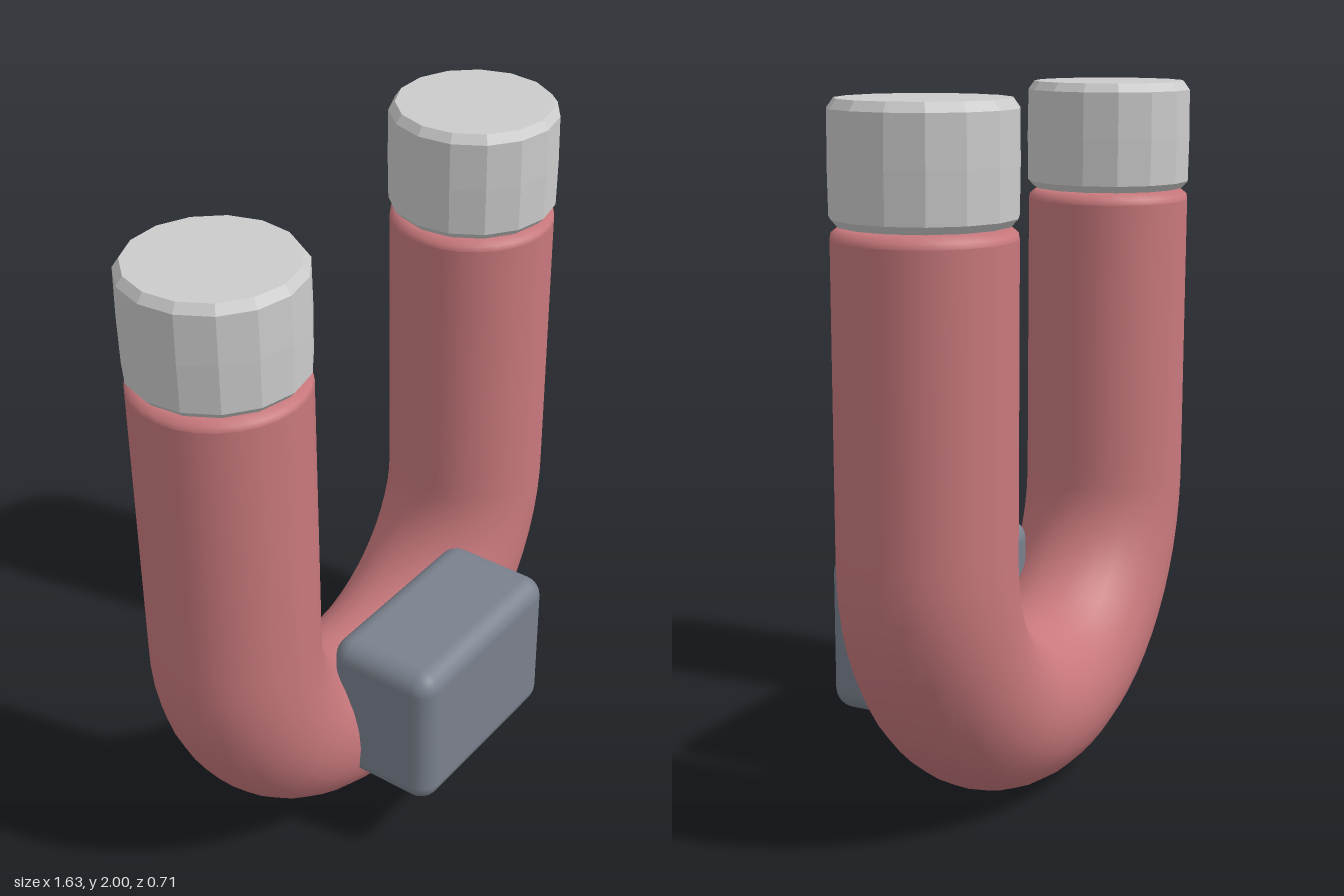
import * as THREE from 'three';
import { RoundedBoxGeometry } from 'three/addons/geometries/RoundedBoxGeometry.js';

const LEG_X = 0.57;     // distance of each leg's axis from the middle
const BEND_Y = 0.81;    // height where the bend meets the straight legs
const RADIUS = 0.24;
const AXIS_Z = -0.115;

const lathe = (points, sides) =>
  new THREE.LatheGeometry(points.map(([r, y]) => new THREE.Vector2(r, y)), sides);

export function createModel() {
  const model = new THREE.Group();
  model.name = 'horseshoeMagnet';

  const red = new THREE.MeshStandardMaterial({ color: 0xc8787c });
  const slate = new THREE.MeshStandardMaterial({ color: 0x7a818d });
  const grey = new THREE.MeshStandardMaterial({ color: 0xcccccc, flatShading: true });

  const add = (name, geometry, material, x, y, z) => {
    const mesh = new THREE.Mesh(geometry, material);
    mesh.name = name;
    mesh.position.set(x, y, z);
    model.add(mesh);
    return mesh;
  };

  // U-shaped bar: a straight leg, a half-circle bend, a straight leg
  class UCurve extends THREE.Curve {
    getPoint(t, target = new THREE.Vector3()) {
      const leg = 1.65 - BEND_Y;
      const arc = Math.PI * LEG_X;
      const s = t * (2 * leg + arc);
      if (s < leg) return target.set(-LEG_X, 1.65 - s, 0);
      if (s > leg + arc) return target.set(LEG_X, BEND_Y + s - leg - arc, 0);
      const a = Math.PI + (s - leg) / LEG_X;
      return target.set(LEG_X * Math.cos(a), BEND_Y + LEG_X * Math.sin(a), 0);
    }
  }
  add('bar', new THREE.TubeGeometry(new UCurve(), 56, RADIUS, 28), red, 0, 0, AXIS_Z);

  // Bevelled bar ends and faceted pole caps, one of each per leg
  const endGeometry = lathe([[RADIUS, 1.65], [0.237, 1.665], [0.215, 1.682], [0, 1.682]], 28);
  const capGeometry = lathe([
    [0, 1.685], [0.225, 1.685], [0.243, 1.705], [0.245, 1.84],
    [0.243, 1.975], [0.225, 2], [0, 2],
  ], 15);
  for (const [side, x] of [['left', LEG_X], ['right', -LEG_X]]) {
    add(side + 'BarEnd', endGeometry, red, x, 0, AXIS_Z);
    add(side + 'PoleCap', capGeometry, grey, x, 0, AXIS_Z);
  }

  // Rounded block on the front of the bend
  add('frontBlock', new RoundedBoxGeometry(0.63, 0.47, 0.35, 3, 0.06), slate, 0, 0.455, 0.185);

  return model;
}
